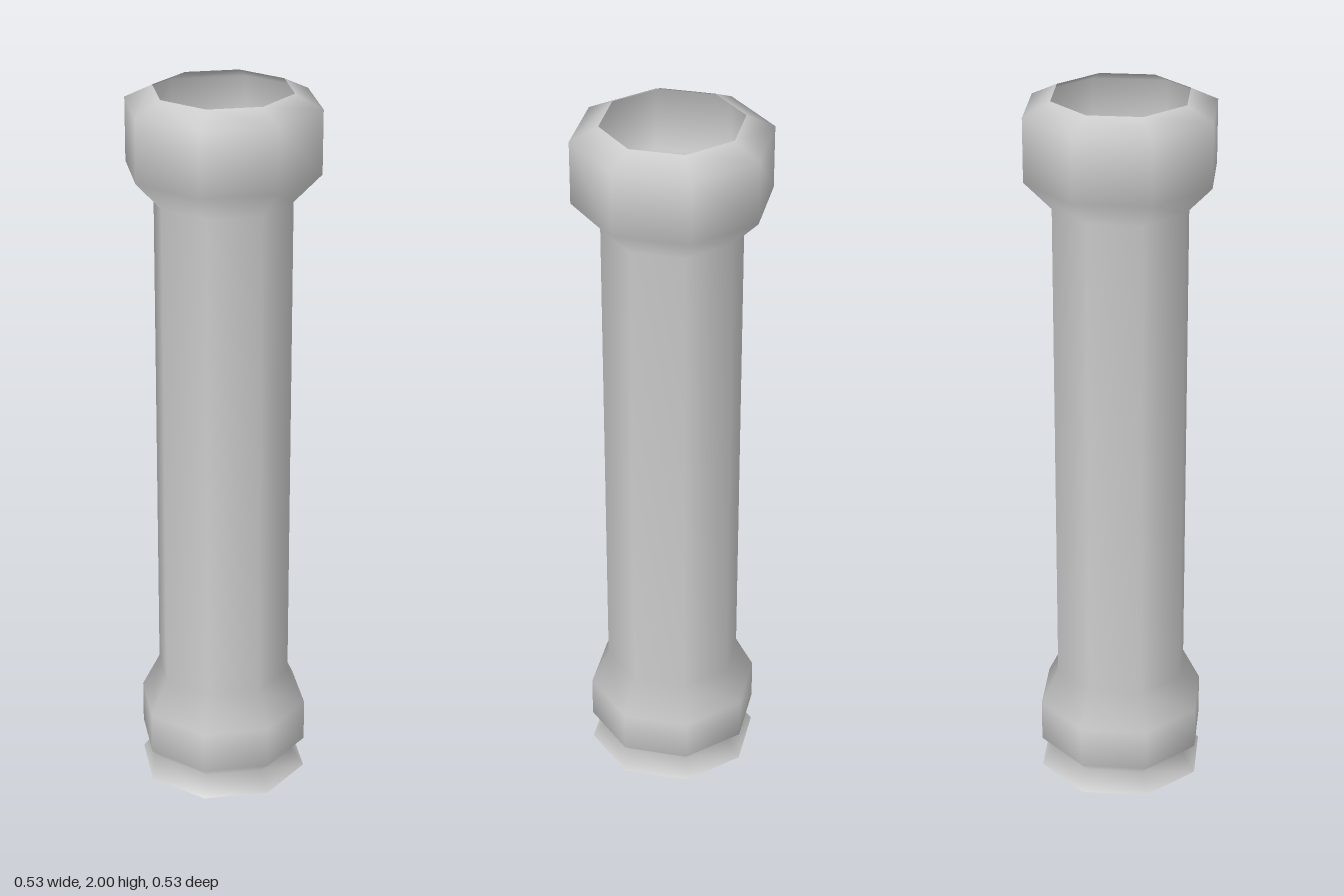
import * as THREE from 'three';

// Hollow eight-sided column, open at both ends
export function createModel() {
  const group = new THREE.Group();
  group.name = 'column';

  const stone = new THREE.MeshStandardMaterial({ color: 0xcccccc, side: THREE.DoubleSide });
  stone.name = 'light grey';

  // Radius and height, from the base up
  const profile = [
    [0.238, 0], [0.198, 0.053],       // flared foot and neck
    [0.238, 0.09], [0.238, 0.21],     // base bulge
    [0.188, 0.31], [0.188, 1.71],     // shaft
    [0.263, 1.79], [0.263, 1.963],    // capital
    [0.188, 2],                       // open rim
  ].map(([r, y]) => new THREE.Vector2(r, y));

  const shell = new THREE.Mesh(new THREE.LatheGeometry(profile, 8), stone);
  shell.name = 'columnShell';
  group.add(shell);
  return group;
}
